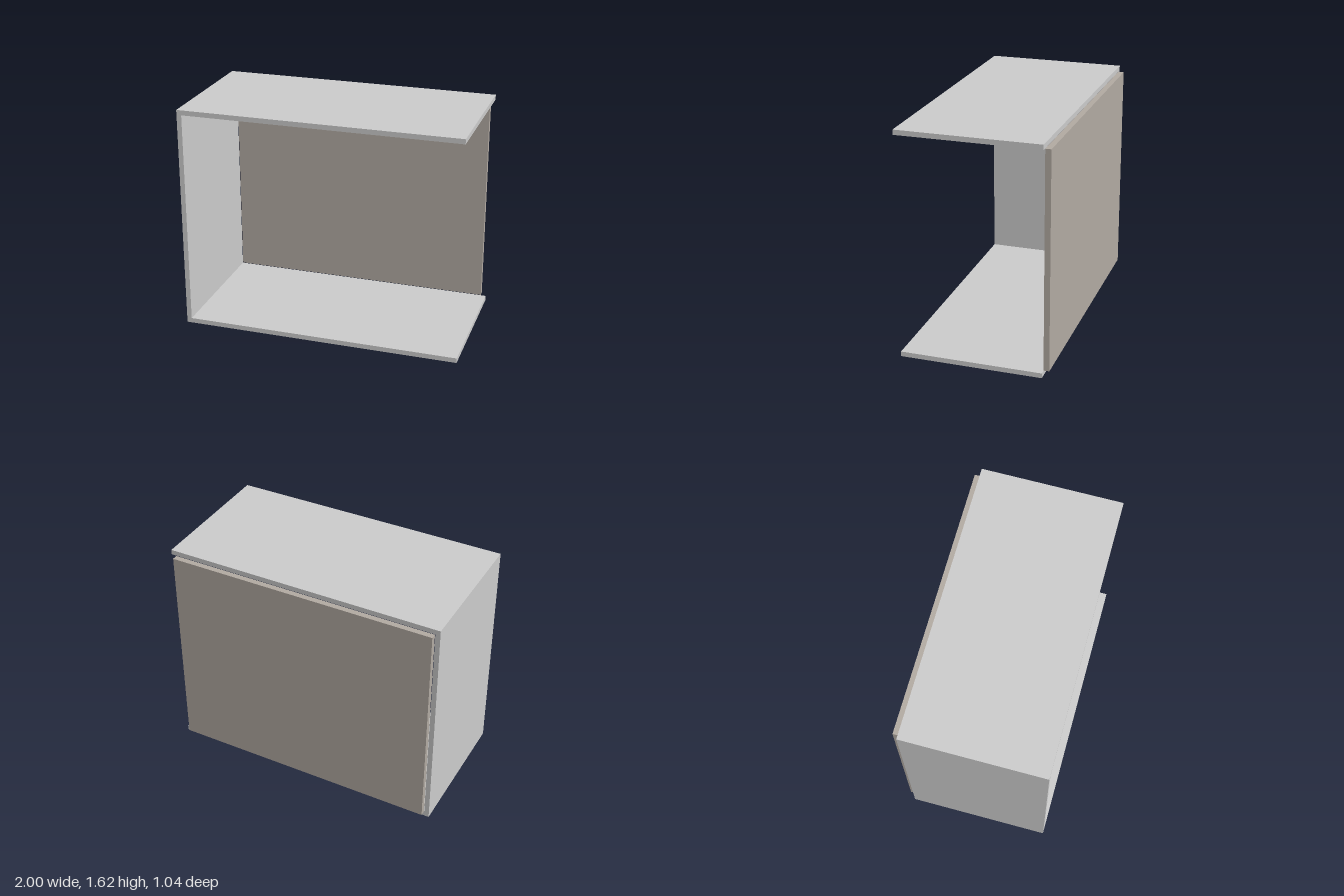
import * as THREE from 'three';

const W = 2, H = 1.615, T = 0.035; // outer width, height, board thickness
const FRONT = 0.52, BACK = -0.48, PANEL_BACK = -0.52;

export function createModel() {
  const group = new THREE.Group();
  group.name = 'openCabinet';
  const frameMaterial = new THREE.MeshStandardMaterial({ color: 0xcccccc });
  const panelMaterial = new THREE.MeshStandardMaterial({ color: 0xb2aaa2 });

  // Carcass: one C-shaped profile (top, side and bottom boards), open on +x
  const x0 = -W / 2, x1 = W / 2;
  const profile = new THREE.Shape([
    [x0, 0], [x1, 0], [x1, T], [x0 + T, T],
    [x0 + T, H - T], [x1, H - T], [x1, H], [x0, H],
  ].map(([x, y]) => new THREE.Vector2(x, y)));
  const carcass = new THREE.Mesh(
    new THREE.ExtrudeGeometry(profile, { depth: FRONT - BACK, bevelEnabled: false }),
    frameMaterial
  );
  carcass.name = 'carcass';
  carcass.position.z = BACK;
  group.add(carcass);

  // Back panel, set behind the rear edges of the carcass
  const panel = new THREE.Mesh(
    new THREE.BoxGeometry(W - 2 * T - 0.005, H - 2 * T - 0.005, BACK - PANEL_BACK),
    panelMaterial
  );
  panel.name = 'backPanel';
  panel.position.set(0, H / 2, (BACK + PANEL_BACK) / 2);
  group.add(panel);

  return group;
}
